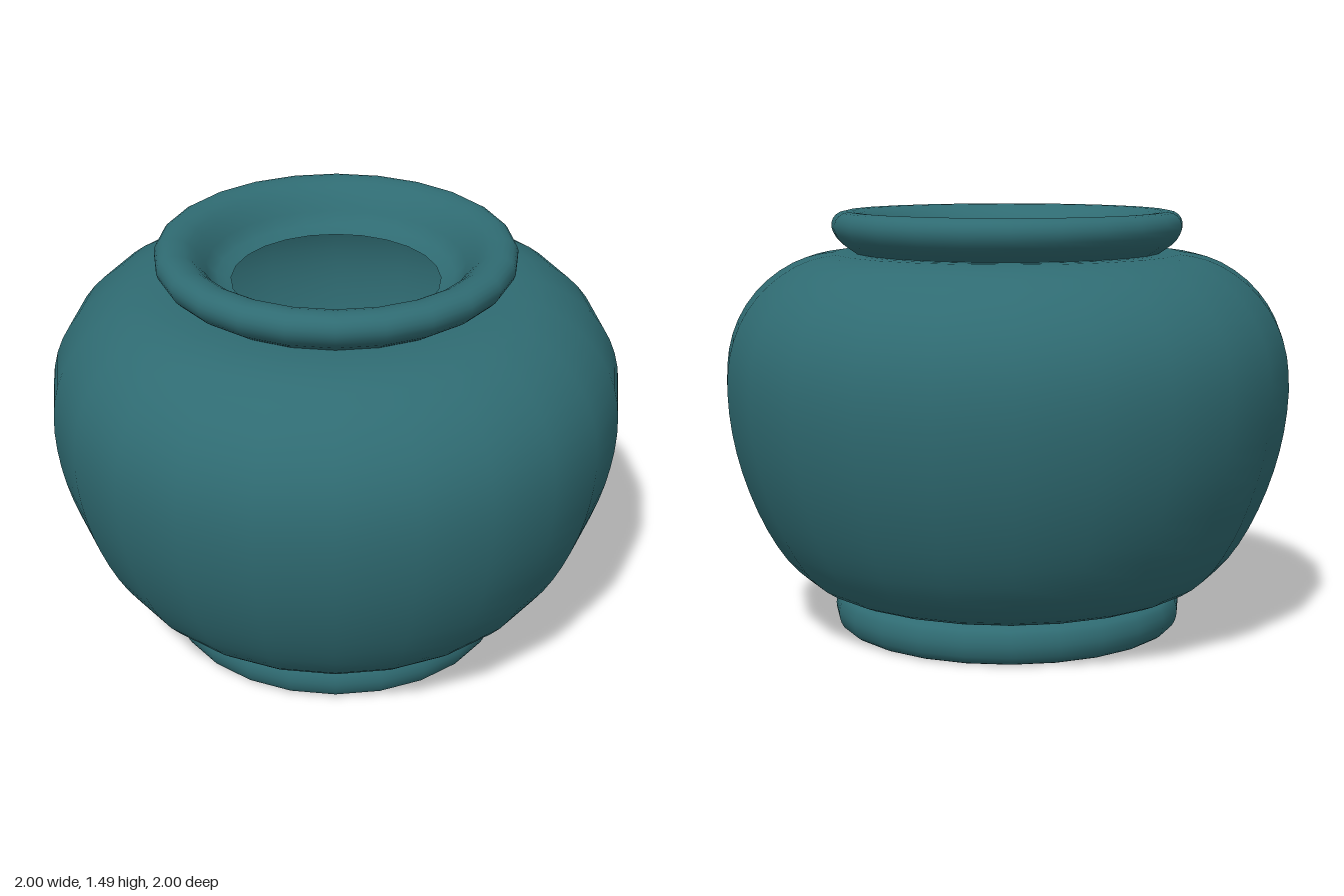
import * as THREE from 'three';

const SIDES = 24;

// Smooth surface of revolution through a few [radius, height] points
function turned(name, points, steps, material) {
  const curve = new THREE.SplineCurve(points.map(([r, y]) => new THREE.Vector2(r, y)));
  const profile = curve.getPoints(steps);
  profile.forEach((p) => { p.x = Math.max(0, p.x); });
  const mesh = new THREE.Mesh(new THREE.LatheGeometry(profile, SIDES), material);
  mesh.name = name;
  return mesh;
}

function disc(name, radius, y, up, material) {
  const mesh = new THREE.Mesh(new THREE.CircleGeometry(radius, SIDES), material);
  mesh.rotation.x = up ? -Math.PI / 2 : Math.PI / 2;
  mesh.position.y = y;
  mesh.name = name;
  return mesh;
}

export function createModel() {
  const pot = new THREE.Group();
  pot.name = 'pot';
  const teal = new THREE.MeshStandardMaterial({ color: 0x2f6b72, side: THREE.DoubleSide });
  const grey = new THREE.MeshStandardMaterial({ color: 0xcccccc, flatShading: true });

  // Foot ring with rounded edge and flat underside
  pot.add(turned('foot', [
    [0.58, 0], [0.605, 0.015], [0.62, 0.05], [0.62, 0.085], [0.605, 0.12], [0.57, 0.137],
  ], 10, teal));
  pot.add(disc('footUnderside', 0.58, 0, false, teal));

  // Round belly, open at the top
  pot.add(turned('belly', [
    [0.55, 0.135], [0.62, 0.145], [0.71, 0.185], [0.8, 0.27], [0.88, 0.4], [0.945, 0.56],
    [0.985, 0.72], [1, 0.88], [0.985, 1.02], [0.935, 1.14], [0.85, 1.24], [0.74, 1.31],
    [0.63, 1.337], [0.54, 1.34],
  ], 30, teal));
  pot.add(disc('floor', 0.56, 0.136, true, teal));

  // Rolled rim that dips inward to the mouth
  pot.add(turned('rim', [
    [0.54, 1.34], [0.595, 1.38], [0.62, 1.425], [0.61, 1.465], [0.57, 1.485],
    [0.51, 1.47], [0.46, 1.42], [0.42, 1.365], [0.36, 1.34],
  ], 20, teal));

  // Faceted bone lying on the floor: a waisted shaft with two knobbed ends
  const bone = new THREE.Group();
  bone.name = 'bone';
  const shaftProfile = [
    [0, -0.33], [0.055, -0.325], [0.08, -0.27], [0.078, -0.2], [0.06, -0.1], [0.052, 0],
    [0.056, 0.08], [0.072, 0.17], [0.078, 0.26], [0.068, 0.33], [0.055, 0.365], [0, 0.37],
  ].map(([r, z]) => new THREE.Vector2(r, z));
  const shaft = new THREE.Mesh(new THREE.LatheGeometry(shaftProfile, 8), grey);
  shaft.name = 'boneShaft';
  shaft.rotation.x = Math.PI / 2;
  bone.add(shaft);
  for (const side of [-1, 1]) {
    const knob = new THREE.Mesh(new THREE.IcosahedronGeometry(0.045, 1), grey);
    knob.name = 'boneKnob';
    knob.position.set(side * 0.03, -0.02, 0.345);
    bone.add(knob);
  }
  bone.position.y = 0.22;
  pot.add(bone);

  return pot;
}
